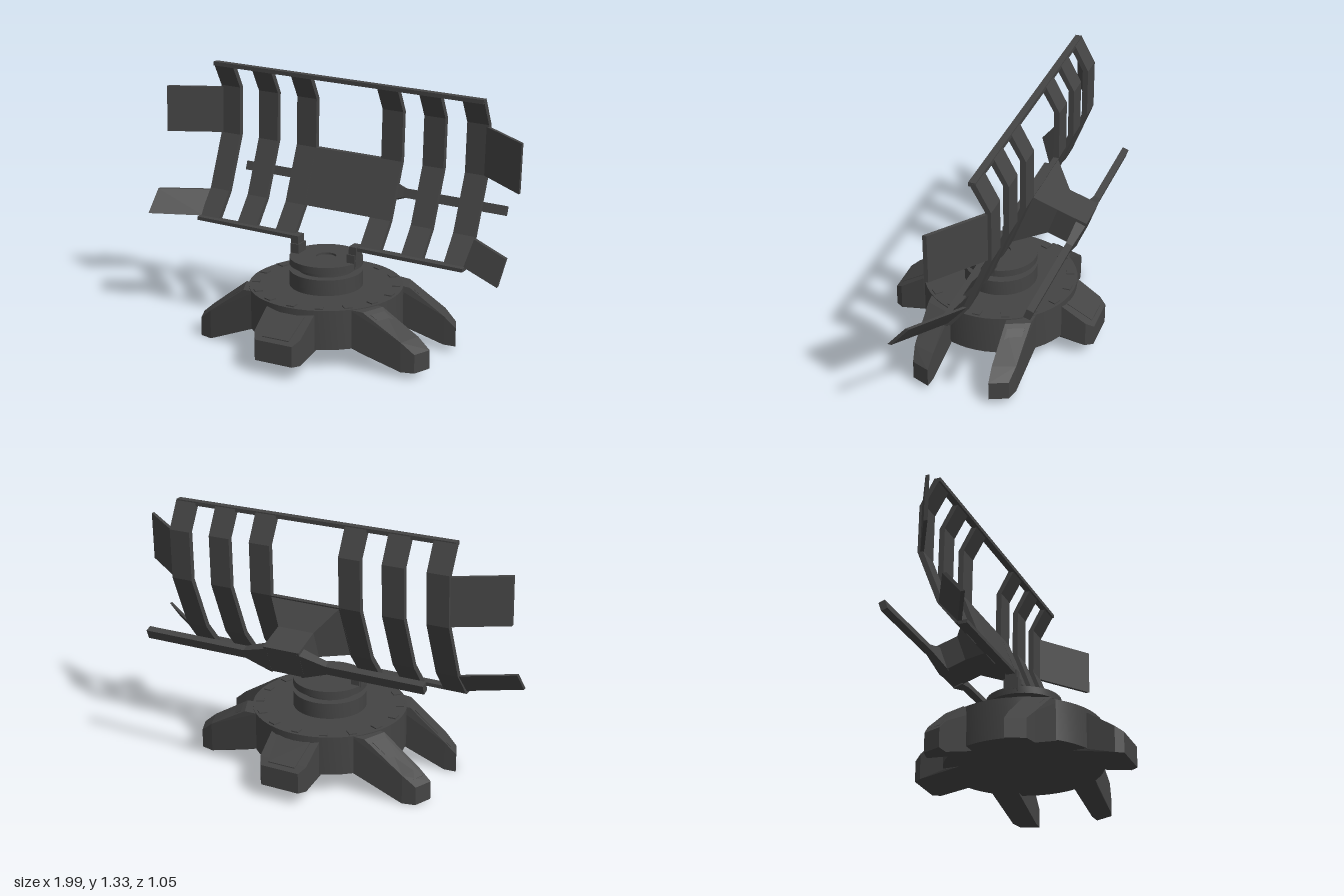
import * as THREE from 'three';
import { toCreasedNormals } from 'three/addons/utils/BufferGeometryUtils.js';
import { ConvexGeometry } from 'three/addons/geometries/ConvexGeometry.js';

const metal = new THREE.MeshStandardMaterial({ color: 0x444444 });
metal.name = 'dark metal';

function add(group, name, geometry) {
  const mesh = new THREE.Mesh(geometry, metal);
  mesh.name = name;
  group.add(mesh);
  return mesh;
}

function box(group, name, w, h, d, x, y, z) {
  const mesh = add(group, name, new THREE.BoxGeometry(w, h, d));
  mesh.position.set(x, y, z);
  return mesh;
}

// Convex solid around a few [x, y, z] corners
const hull = (points) => new ConvexGeometry(points.map((p) => new THREE.Vector3(...p)));

// Strip with a (z, y) profile, extruded along x and centred on x = 0
function strip(profile, width) {
  const shape = new THREE.Shape(profile.map(([z, y]) => new THREE.Vector2(z, y)));
  const g = new THREE.ExtrudeGeometry(shape, { depth: width, bevelEnabled: false });
  return g.translate(0, 0, -width / 2).rotateY(-Math.PI / 2);
}

// Leg from pairs of plan corners; each section is [pair, bottom y, top y]
function leg(group, name, sections) {
  const part = new THREE.Group();
  part.name = name;
  const corners = sections.flatMap(([pair, low, high]) =>
    pair.flatMap(([x, z]) => [[x, low, z], [x, high, z]]));
  add(part, 'legBody', hull(corners));
  // Thin cover plate on the sloping top
  const [, [[a, b], , ya], , [[c, d], , yc]] = sections;
  const at = (u, v, lift) => {
    const x = THREE.MathUtils.lerp(THREE.MathUtils.lerp(a[0], b[0], u), THREE.MathUtils.lerp(c[0], d[0], u), v);
    const z = THREE.MathUtils.lerp(THREE.MathUtils.lerp(a[1], b[1], u), THREE.MathUtils.lerp(c[1], d[1], u), v);
    return [x, THREE.MathUtils.lerp(ya, yc, v) + lift, z];
  };
  const plate = [];
  for (const u of [0.15, 0.85]) for (const v of [0.1, 0.88]) plate.push(at(u, v, -0.004), at(u, v, 0.005));
  add(part, 'legPlate', hull(plate));
  group.add(part);
}

function createBase() {
  const base = new THREE.Group();
  base.name = 'base';

  // Disc, turntable and recessed hub in one turned profile
  const profile = [[0, 0.105], [0.385, 0.105], [0.385, 0.305], [0.183, 0.305], [0.183, 0.385], [0.14, 0.385],
    [0.14, 0.415], [0.183, 0.415], [0.183, 0.45], [0.05, 0.45], [0.05, 0.44], [0, 0.44]];
  const turned = new THREE.LatheGeometry(profile.map(([r, y]) => new THREE.Vector2(r, y)), 48);
  add(base, 'turntable', toCreasedNormals(turned, 0.6)).position.set(-0.005, 0, -0.005);

  // Bolts round the rim
  for (let i = 0; i < 16; i++) {
    const a = (i / 16) * Math.PI * 2;
    const bolt = box(base, 'bolt', 0.04, 0.012, 0.04, Math.sin(a) * 0.35 - 0.005, 0.305, Math.cos(a) * 0.35 - 0.005);
    bolt.rotation.y = a;
  }

  // Short legs front and back
  for (const s of [1, -1]) {
    const pair = (w, z) => [[-w - 0.005, z * s], [w - 0.005, z * s]];
    leg(base, s > 0 ? 'frontLeg' : 'backLeg', [
      [pair(0.13, 0.28), 0.105, 0.3], [pair(0.13, 0.365), 0.1, 0.28],
      [pair(0.125, 0.49), 0.07, 0.2], [pair(0.1, 0.527), 0.07, 0.175]]);
  }

  // Long side legs, the right pair reaching lower
  for (const sx of [1, -1]) for (const sz of [1, -1]) {
    const y = sx > 0 ? 0.03 : 0;
    const p = (...list) => list.map(([x, z]) => [x * sx, z * sz - 0.01]);
    leg(base, 'sideLeg', [
      [p([0.26, 0.27], [0.28, 0.14]), 0.11, 0.302], [p([0.33, 0.265], [0.38, 0.15]), 0.085, 0.298],
      [p([0.53, 0.26], [0.57, 0.15]), y, 0.15 + y], [p([0.595, 0.245], [0.633, 0.155]), y, 0.095 + y]]);
  }
  return base;
}

function createAntenna() {
  const antenna = new THREE.Group();
  antenna.name = 'antenna';

  // Bent reflector ribs
  const rib = [[-0.17, 1.31], [-0.24, 1.18], [-0.24, 0.93], [-0.13, 0.645], [-0.035, 0.522],
    [0.0, 0.522], [-0.105, 0.655], [-0.212, 0.93], [-0.212, 1.18], [-0.138, 1.31]];
  for (const x of [-0.69, -0.465, -0.24, 0.24, 0.465, 0.69]) {
    add(antenna, 'reflectorRib', strip(rib, 0.112)).position.x = x;
  }

  // Rails, with the lower one open over the turntable
  box(antenna, 'topRail', 1.49, 0.02, 0.034, 0, 1.306, -0.153);
  for (const s of [1, -1]) {
    box(antenna, 'bottomRail', 0.56, 0.018, 0.045, s * 0.465, 0.523, 0.0);
    box(antenna, 'bracketTop', 0.04, 0.1, 0.06, s * 0.163, 0.485, 0);
    box(antenna, 'bracketFoot', 0.045, 0.07, 0.075, s * 0.158, 0.46, 0);
  }

  // Centre panel
  add(antenna, 'centrePanel',
    strip([[-0.24, 0.93], [-0.135, 0.655], [-0.107, 0.655], [-0.212, 0.93]], 0.38));

  // Swept side wings
  for (const [s, upperZ, lowerZ] of [[1, -0.02, 0.175], [-1, -0.073, 0.118]]) {
    const slab = (quad) => hull(quad.flatMap(([x, y, z]) => [[x * s, y, z], [x * s, y, z - 0.02]]));
    add(antenna, 'upperWing', slab([[0.73, 0.93, -0.215], [0.73, 1.17, -0.215],
      [0.99, 0.93, upperZ], [0.99, 1.17, upperZ]]));
    add(antenna, 'lowerWing', slab([[0.73, 0.645, -0.11], [0.73, 0.53, -0.012],
      [0.985, 0.645, lowerZ - 0.092], [0.985, 0.535, lowerZ]]));
  }

  // Tapered housing and block behind the panel
  const across = (w, list) => [-w, w].flatMap((x) => list.map(([z, y]) => [x, y, z]));
  const neck = [[-0.328, 0.82], [-0.28, 0.68]];
  add(antenna, 'rearHousing', hull([...across(0.185, [[-0.235, 0.925], [-0.132, 0.65]]), ...across(0.095, neck)]));
  add(antenna, 'rearBlock', hull(across(0.095, [...neck, [-0.474, 0.772], [-0.424, 0.632]])));

  // Cross bar, wide at the block and narrow at the ends
  const bar = new THREE.Group();
  bar.name = 'crossBar';
  bar.position.set(0.03, 0.702, -0.422);
  bar.rotation.x = -0.34;
  antenna.add(bar);
  box(bar, 'barBeam', 1.49, 0.048, 0.034, 0, 0, 0);
  const face = (x, h, d) => [[x, h, d], [x, -h, d], [x, h, -d], [x, -h, -d]];
  for (const s of [1, -1]) {
    add(bar, 'barFlare', hull([...face(s * 0.08 - 0.03, 0.073, 0.026), ...face(s * 0.22 - 0.03, 0.024, 0.017)]));
  }

  // Slight turn and tilt about the middle of the reflector
  const pivot = new THREE.Group();
  pivot.name = 'antennaPivot';
  antenna.position.y = -0.91;
  pivot.add(antenna);
  pivot.position.set(0.005, 0.91, 0);
  pivot.rotation.set(0, -0.016, -0.02);
  return pivot;
}

export function createModel() {
  const model = new THREE.Group();
  model.name = 'radarStation';
  model.add(createBase(), createAntenna());
  return model;
}
